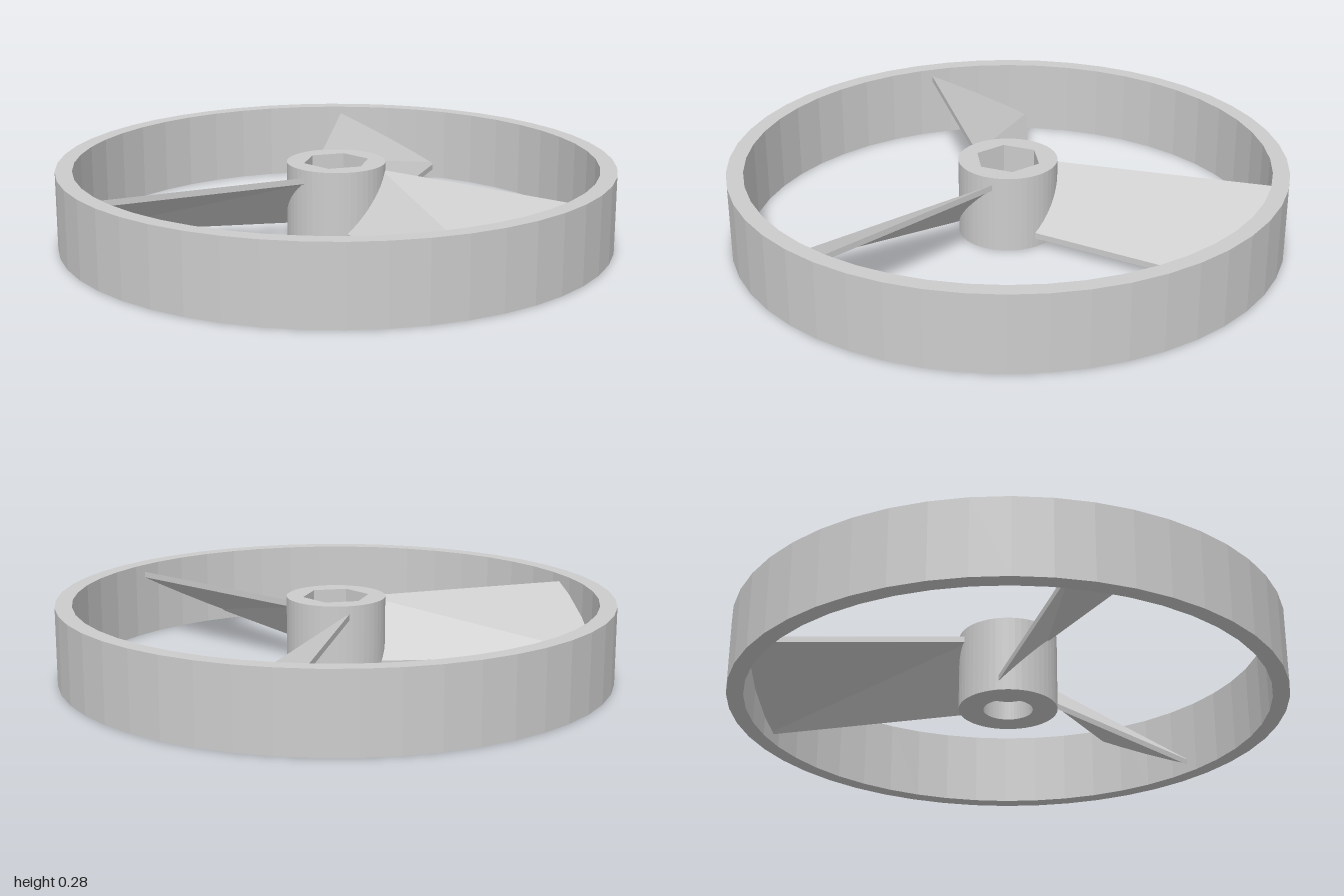
import * as THREE from 'three';

const HEIGHT = 0.28;
const SEGMENTS = 48;

// Points of a regular polygon with one corner on +x
function polygon(radius, sides) {
  return Array.from({ length: sides }, (_, i) => {
    const a = (i / sides) * Math.PI * 2;
    return new THREE.Vector2(radius * Math.cos(a), radius * Math.sin(a));
  });
}

// Upright prism between two heights, with an optional hole through it
function prism(outer, hole, bottom, top) {
  const shape = new THREE.Shape(outer);
  if (hole) shape.holes.push(new THREE.Path(hole));
  const geometry = new THREE.ExtrudeGeometry(shape, { depth: top - bottom, bevelEnabled: false });
  return geometry.rotateX(-Math.PI / 2).translate(0, bottom, 0);
}

// Flaring blade along +x: four upper corners, given a thickness downwards
function bladeGeometry() {
  const thickness = 0.022, high = 0.252, low = 0.055;
  const root = 0.13, tip = 0.95;
  const halfWidth = (x) => 0.1 + (x - 0.15) * 0.126;
  const top = [
    [root, high, -halfWidth(root)],
    [root, low, halfWidth(root)],
    [tip, low, halfWidth(tip)],
    [tip, high, -halfWidth(tip)],
  ];
  const corners = [...top, ...top.map(([x, y, z]) => [x, y - thickness, z])];
  const faces = [0, 1, 2, 0, 2, 3, 4, 6, 5, 4, 7, 6];
  for (let i = 0; i < 4; i++) {
    const j = (i + 1) % 4;
    faces.push(i, i + 4, j + 4, i, j + 4, j);
  }
  const geometry = new THREE.BufferGeometry();
  geometry.setAttribute('position', new THREE.Float32BufferAttribute(faces.flatMap((f) => corners[f]), 3));
  geometry.computeVertexNormals();
  return geometry;
}

export function createModel() {
  const model = new THREE.Group();
  model.name = 'ringedPropeller';
  const grey = new THREE.MeshStandardMaterial({ color: 0xcccccc });
  grey.name = 'lightGrey';

  const add = (name, geometry) => {
    const mesh = new THREE.Mesh(geometry, grey);
    mesh.name = name;
    model.add(mesh);
    return mesh;
  };

  // Outer ring
  add('outerRing', prism(polygon(1, SEGMENTS), polygon(0.94, SEGMENTS), 0, HEIGHT));

  // Hub: round socket below, solid web, hexagonal pocket above
  const hub = polygon(0.178, SEGMENTS);
  const socketTop = 0.07, pocketFloor = 0.13;
  add('hubSocket', prism(hub, polygon(0.089, SEGMENTS), 0, socketTop));
  add('hubWeb', prism(hub, null, socketTop, pocketFloor));
  add('hubHexPocket', prism(hub, polygon(0.12, 6), pocketFloor, HEIGHT));

  // Three pitched blades joining hub and ring
  const blade = bladeGeometry();
  for (let i = 0; i < 3; i++) {
    add(`blade${i + 1}`, blade).rotation.y = (i * Math.PI * 2) / 3;
  }
  return model;
}
